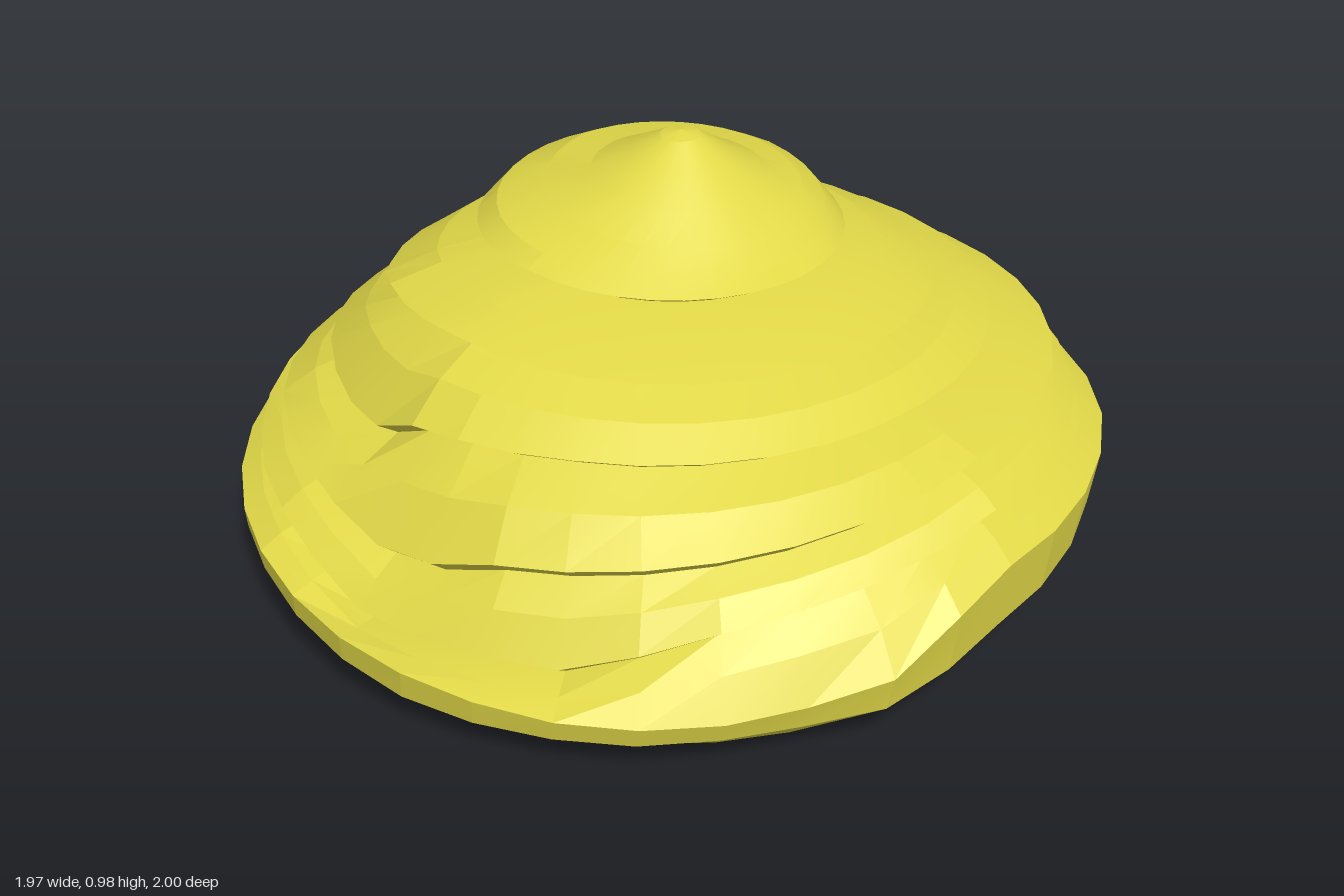
import * as THREE from 'three';
import { toCreasedNormals } from 'three/addons/utils/BufferGeometryUtils.js';

const SIDES = 36;

// Value at an angle (degrees, 0 = +x, 90 = front), from [angle, value] pairs that wrap around
function valueAt(keys, deg) {
  const i = keys.findLastIndex(k => k[0] <= deg);
  const [a0, v0] = keys[i];
  const [a1, v1] = i + 1 < keys.length ? keys[i + 1] : [360, keys[0][1]];
  return v0 + (v1 - v0) * (deg - a0) / (a1 - a0);
}

// One wavy ring of points: radii and heights around a centre
function ring(radii, cx, cz, heights, inset = 0, drop = 0) {
  return Array.from({ length: SIDES }, (_, i) => {
    const deg = i * 360 / SIDES, a = deg * Math.PI / 180;
    const r = valueAt(radii, deg) - inset;
    return new THREE.Vector3(cx + r * Math.cos(a), valueAt(heights, deg) - drop, cz + r * Math.sin(a));
  });
}

// Blend of two rings, with separate amounts across and upward to make a slope bulge
function between(lower, upper, across, up) {
  return lower.map((p, i) => {
    const q = p.clone().lerp(upper[i], across);
    q.y = THREE.MathUtils.lerp(p.y, upper[i].y, up);
    return q;
  });
}

// Skin over rings ordered from bottom to top
function loft(rings) {
  const pos = [], index = [];
  rings.forEach(r => r.forEach(p => pos.push(p.x, p.y, p.z)));
  for (let j = 0; j < rings.length - 1; j++) {
    for (let i = 0; i < SIDES; i++) {
      const a = j * SIDES + i, b = j * SIDES + (i + 1) % SIDES;
      index.push(a, a + SIDES, b, b, a + SIDES, b + SIDES);
    }
  }
  const g = new THREE.BufferGeometry();
  g.setAttribute('position', new THREE.Float32BufferAttribute(pos, 3));
  g.setIndex(index);
  return toCreasedNormals(g, 0.16);
}

// Overlapping rims, bottom to top
const RIMS = [
  { name: 'lowerFold', r: 0.94, cx: -0.015, cz: -0.01, lip: 0.04, keys: [
    [0, 0.425], [36, 0.345], [48, 0.29], [56, 0.225], [90, 0.2], [101, 0.25], [112, 0.285],
    [180, 0.275], [225, 0.315], [270, 0.37], [315, 0.395]] },
  { name: 'middleFold', r: 0.885, cx: -0.02, cz: -0.02, lip: 0.045, keys: [
    [0, 0.52], [36, 0.46], [70, 0.4], [82, 0.34], [90, 0.33], [101, 0.36], [113, 0.385],
    [132, 0.375], [180, 0.31], [225, 0.365], [270, 0.44], [315, 0.49]] },
  { name: 'upperFold', r: 0.755, cx: -0.04, cz: -0.02, lip: 0.035, keys: [
    [0, 0.59], [60, 0.59], [86, 0.57], [95, 0.54], [101, 0.485], [110, 0.485], [132, 0.5],
    [180, 0.425], [200, 0.42], [225, 0.475], [270, 0.54], [315, 0.57]] },
  { name: 'shoulderFold', r: 0.62, cx: -0.04, cz: -0.02, lip: 0.03, keys: [
    [0, 0.68], [90, 0.715], [122, 0.69], [140, 0.63], [180, 0.58], [225, 0.6], [270, 0.62], [315, 0.65]] },
  { name: 'cap', r: 0.415, cx: -0.045, cz: -0.03, lip: 0.03, keys: [
    [0, 0.76], [90, 0.785], [180, 0.76], [270, 0.745]] },
];

// Cap rings above its rim, narrowing to the tip: radius, centre, heights
const CAP = [
  [0.37, -0.045, -0.03, [[0, 0.78], [90, 0.81], [180, 0.82], [270, 0.82]]],
  [0.29, -0.02, -0.045, [[0, 0.82], [90, 0.845], [180, 0.875], [270, 0.855]]],
  [0.2, 0, -0.045, [[0, 0.87], [90, 0.895], [180, 0.895], [270, 0.88]]],
  [0.12, 0, -0.045, [[0, 0.925], [90, 0.935], [180, 0.935], [270, 0.925]]],
  [0.045, 0, -0.045, [[0, 0.975]]],
  [0, 0, -0.045, [[0, 0.985]]],
];

export function createModel() {
  const group = new THREE.Group();
  const material = new THREE.MeshStandardMaterial({ color: 0xe2d948 });
  const add = (name, rings) => {
    const mesh = new THREE.Mesh(loft(rings), material);
    mesh.name = name;
    group.add(mesh);
  };

  const rims = RIMS.map(f => ring([[0, f.r]], f.cx, f.cz, f.keys));
  const unders = RIMS.map(f => ring([[0, f.r]], f.cx, f.cz, f.keys, 0.05, f.lip));
  const slope = (rim, under) => [rim, between(rim, under, 0.45, 0.6), under];

  // Base: closed underside lifted on one back quarter, flared side and thick rim
  const floor = ring(
    [[0, 0.88], [30, 0.9], [60, 0.88], [90, 0.86], [262, 0.87], [288, 0.9], [310, 0.96], [342, 0.91]], -0.01, 0,
    [[0, 0.065], [30, 0.025], [76, 0], [92, 0.035], [180, 0.055], [262, 0.065], [288, 0.105], [310, 0.125], [342, 0.085]]);
  const outline = [[0, 0.98], [20, 1.015], [33, 0.975], [45, 1], [90, 1], [180, 0.985],
    [212, 1.015], [250, 1.01], [270, 1], [317, 1.015]];
  const baseLow = ring(outline, -0.01, 0, [
    [0, 0.15], [30, 0.1], [78, 0.09], [92, 0.11], [110, 0.14], [180, 0.145], [225, 0.165],
    [270, 0.2], [310, 0.18], [340, 0.16]], 0.01);
  const baseTop = ring(outline, 0, 0, [
    [0, 0.315], [10, 0.28], [23, 0.18], [35, 0.15], [60, 0.15], [90, 0.175], [110, 0.195],
    [180, 0.2], [225, 0.225], [270, 0.265], [315, 0.3]]);
  add('base', [ring([[0, 0]], 0, 0, [[0, 0.05]]), floor, baseLow, ...slope(baseTop, unders[0])]);

  // Folds stacked on the base, each overhanging the one below
  RIMS.forEach((f, i) => {
    const top = i < RIMS.length - 1
      ? slope(rims[i], unders[i + 1])
      : [rims[i], ...CAP.map(([r, cx, cz, keys]) => ring([[0, r]], cx, cz, keys))];
    add(f.name, [unders[i], ...top]);
  });
  return group;
}
